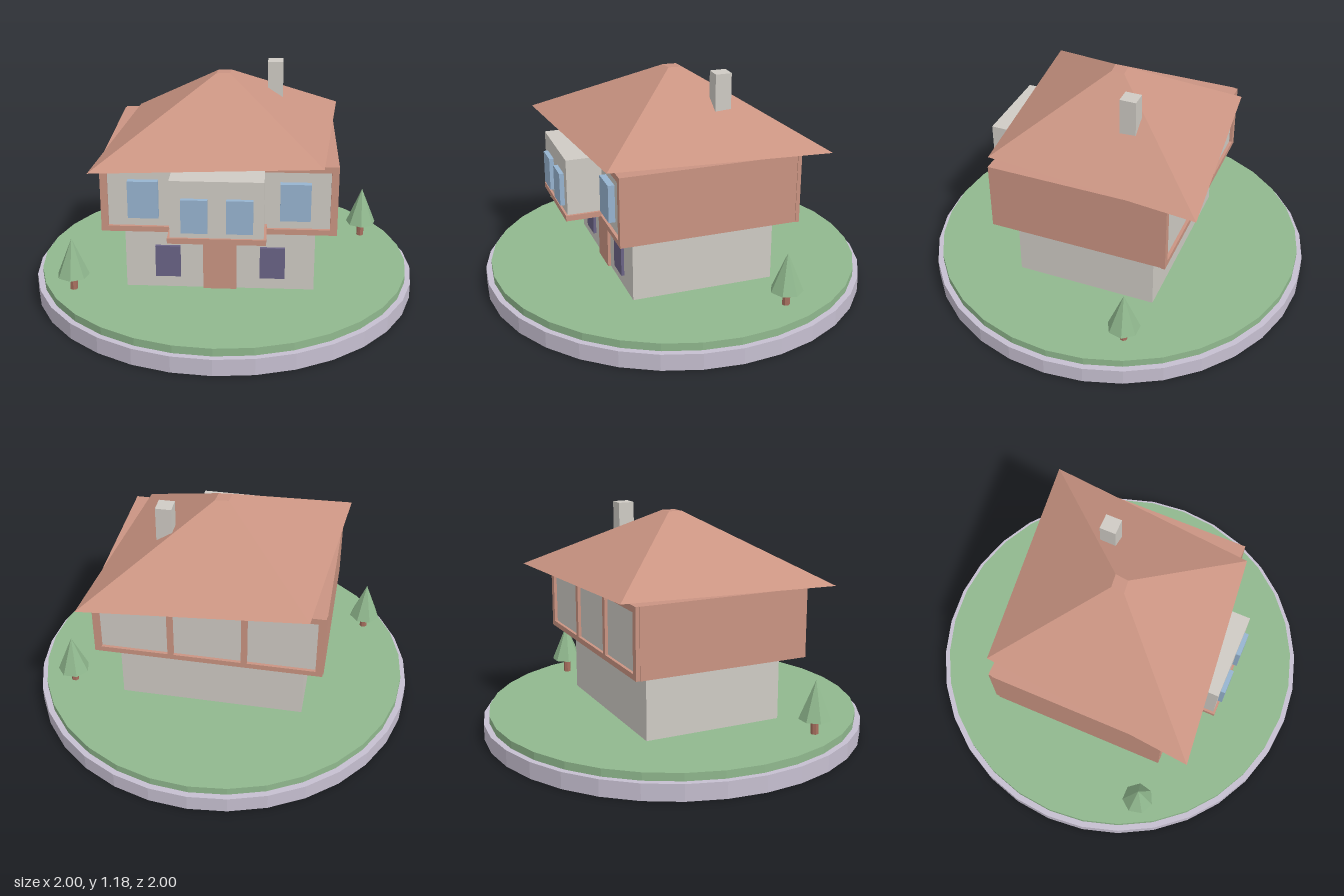
import * as THREE from 'three';

const mat = (name, color) => {
  const m = new THREE.MeshStandardMaterial({ color, flatShading: true });
  m.name = name;
  return m;
};

export function createModel() {
  const stone = mat('pale lilac stone', 0xc6bfd0);
  const green = mat('green', 0x90b88e);
  const plaster = mat('plaster', 0xcfcbc4);
  const clay = mat('clay', 0xca9482);
  const glass = mat('blue glass', 0x97b4d0);
  const darkGlass = mat('dark glass', 0x6a6386);
  const bark = mat('bark', 0xa8705f);

  const model = new THREE.Group();
  const add = (name, geometry, material, x = 0, y = 0, z = 0, parent = model) => {
    const mesh = new THREE.Mesh(geometry, material);
    mesh.name = name;
    mesh.position.set(x, y, z);
    parent.add(mesh);
    return mesh;
  };
  // Box given by its limits on each axis
  const box = (name, material, x0, x1, y0, y1, z0, z1) =>
    add(name, new THREE.BoxGeometry(x1 - x0, y1 - y0, z1 - z0), material,
      (x0 + x1) / 2, (y0 + y1) / 2, (z0 + z1) / 2);

  // Round plinth and lawn
  add('plinth', new THREE.CylinderGeometry(1, 1, 0.085, 32), stone, 0, 0.0425, 0);
  add('lawn', new THREE.CylinderGeometry(0.97, 0.97, 0.04, 32), green, 0, 0.105, 0);

  // Ground floor with door and dark windows
  box('groundFloor', plaster, -0.475, 0.472, 0.12, 0.47, -0.365, 0.37);
  box('door', clay, -0.085, 0.082, 0.125, 0.375, 0.36, 0.385);
  for (const s of [-1, 1]) {
    box('lowerWindow', darkGlass, s * 0.262 - 0.063, s * 0.262 + 0.063, 0.188, 0.355, 0.36, 0.385);
  }

  // Upper floor: core, plus framed panels at the front and back
  box('upperFloor', clay, -0.577, 0.573, 0.467, 0.822, -0.44, 0.44);
  const frame = (name, bays) => {
    const shape = new THREE.Shape([[-0.575, 0.467], [0.575, 0.467], [0.575, 0.822], [-0.575, 0.822]]
      .map(([x, y]) => new THREE.Vector2(x, y)));
    const gap = 0.03;
    const w = (1.08 - gap * (bays - 1)) / bays;
    for (let i = 0; i < bays; i++) {
      const x = -0.54 + i * (w + gap);
      shape.holes.push(new THREE.Path([[x, 0.495], [x, 0.79], [x + w, 0.79], [x + w, 0.495]]
        .map(([a, b]) => new THREE.Vector2(a, b))));
    }
    const group = new THREE.Group();
    group.name = name;
    add('frame', new THREE.ExtrudeGeometry(shape, { depth: 0.02, bevelEnabled: false }), clay, -0.002, 0, 0.44, group);
    add('panel', new THREE.BoxGeometry(1.1, 0.31, 0.008), plaster, -0.002, 0.643, 0.44, group);
    model.add(group);
    return group;
  };
  frame('frontFacade', 1);
  frame('backFacade', 3).rotation.y = Math.PI;
  for (const s of [-1, 1]) {
    box('upperWindow', glass, s * 0.369 - 0.074, s * 0.369 + 0.074, 0.545, 0.735, 0.435, 0.477);
  }

  // Bay window on a clay ledge
  box('bay', plaster, -0.225, 0.22, 0.51, 0.8, 0.43, 0.622);
  box('bayLedge', clay, -0.237, 0.232, 0.486, 0.514, 0.43, 0.633);
  for (const s of [-1, 1]) {
    box('bayWindow', glass, s * 0.107 - 0.063, s * 0.107 + 0.063, 0.546, 0.714, 0.61, 0.645);
  }

  // Skewed hip roof with a small flat top
  const corners = [[-0.607, 0.607], [0.5, 0.497], [0.607, -0.61], [-0.5, -0.503]];
  const low = corners.map(([x, z]) => [x, 0.822, z]);
  const high = corners.map(([x, z]) => [x * 0.062, 1.156, z * 0.062]);
  const points = [];
  const quad = (a, b, c, d) => points.push(...a, ...b, ...c, ...a, ...c, ...d);
  for (let i = 0; i < 4; i++) {
    const j = (i + 1) % 4;
    quad(low[i], low[j], high[j], high[i]);
  }
  quad(...high);
  quad(...low.slice().reverse());
  const roof = new THREE.BufferGeometry();
  roof.setAttribute('position', new THREE.Float32BufferAttribute(points, 3));
  roof.computeVertexNormals();
  add('roof', roof, clay);
  box('chimney', plaster, 0.22, 0.3, 0.93, 1.178, -0.2, -0.117);

  // Trees
  for (const [x, z] of [[-0.74, 0.42], [0.755, -0.32]]) {
    const tree = new THREE.Group();
    tree.name = 'tree';
    tree.position.set(x, 0.12, z);
    add('trunk', new THREE.CylinderGeometry(0.02, 0.02, 0.09, 7), bark, 0, 0.045, 0, tree);
    add('foliage', new THREE.ConeGeometry(0.082, 0.2, 7), green, 0, 0.182, 0, tree);
    model.add(tree);
  }
  return model;
}
